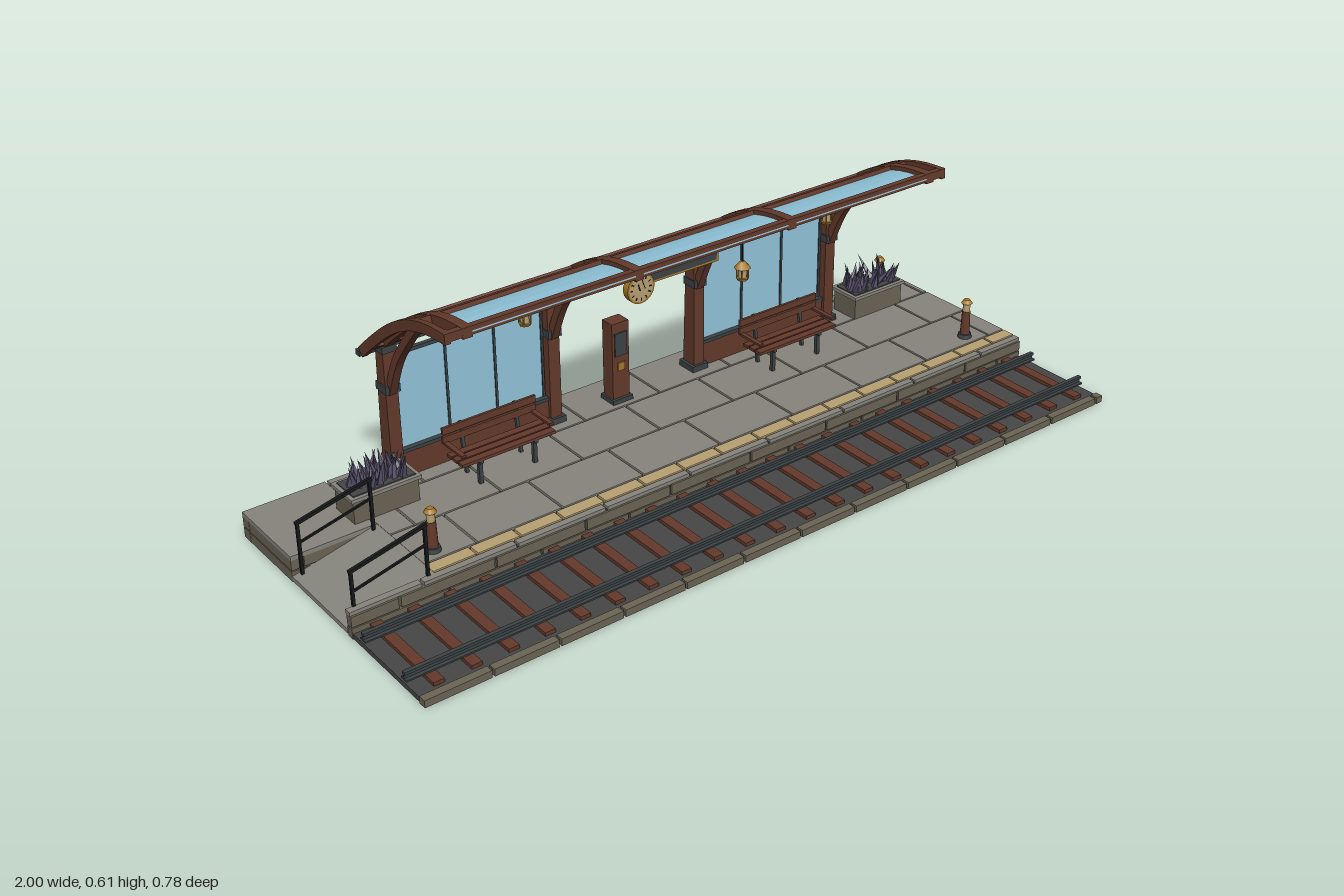
import * as THREE from 'three';

const mat = (name, color, side = THREE.FrontSide) => {
  const m = new THREE.MeshStandardMaterial({ color, side });
  m.name = name;
  return m;
};

export function createModel() {
  const root = new THREE.Group();
  const M = {
    paving: mat('paving grey', 0x87857d), stone: mat('stone', 0x6b6555), wood: mat('red brown wood', 0x643a2b),
    metal: mat('dark metal', 0x3c4346), ballast: mat('ballast', 0x474747), glass: mat('glass', 0x93c6dc),
    gold: mat('brass', 0xa97a2c), cream: mat('cream', 0xb9a273), plant: mat('violet plant', 0x565069, THREE.DoubleSide),
    iron: mat('black iron', 0x17191a),
  };
  const group = (name, parent = root) => {
    const g = new THREE.Group();
    g.name = name;
    parent.add(g);
    return g;
  };
  const add = (name, geo, m, parent = root, x = 0, y = 0, z = 0) => {
    const mesh = new THREE.Mesh(geo, m);
    mesh.name = name;
    mesh.position.set(x, y, z);
    parent.add(mesh);
    return mesh;
  };
  // Box given by its minimum and maximum on each axis
  const span = (name, m, x0, x1, y0, y1, z0, z1, parent) =>
    add(name, new THREE.BoxGeometry(x1 - x0, y1 - y0, z1 - z0), m, parent, (x0 + x1) / 2, (y0 + y1) / 2, (z0 + z1) / 2);
  const cyl = (name, m, r0, r1, y0, y1, x, z, parent, sides = 12) =>
    add(name, new THREE.CylinderGeometry(r1, r0, y1 - y0, sides), m, parent, x, (y0 + y1) / 2, z);
  // Square bar between two points
  const bar = (name, m, a, b, t, parent) => {
    const A = new THREE.Vector3(...a), B = new THREE.Vector3(...b);
    const mesh = add(name, new THREE.BoxGeometry(t, t, A.distanceTo(B)), m, parent);
    mesh.position.copy(A).lerp(B, 0.5);
    mesh.lookAt(B);
    return mesh;
  };
  // Side profile in (z, y), extruded to a width along x
  const profile = (pts, w) => {
    const g = new THREE.ExtrudeGeometry(new THREE.Shape(pts.map(p => new THREE.Vector2(p[0], p[1]))), { depth: w, bevelEnabled: false });
    return g.rotateY(-Math.PI / 2).translate(w / 2, 0, 0);
  };
  // Strip of thickness t following a curve, shifted sideways by off
  const ribbon = (curve, t, w, off = 0, n = 14) => {
    const a = [], b = [];
    for (let i = 0; i <= n; i++) {
      const p = curve.getPointAt(i / n), d = curve.getTangentAt(i / n);
      a.push([p.x - d.y * (off + t / 2), p.y + d.x * (off + t / 2)]);
      b.unshift([p.x - d.y * (off - t / 2), p.y + d.x * (off - t / 2)]);
    }
    return profile([...a, ...b], w);
  };
  const curve2 = pts => new THREE.SplineCurve(pts.map(p => new THREE.Vector2(...p)));
  // Row of pieces along x with joints between them
  const row = (name, m, x0, x1, len, shift, y0, y1, z0, z1, parent) => {
    for (let x = x0 - shift; x < x1 - 0.01; x += len) {
      const a = Math.max(x, x0), b = Math.min(x + len - 0.006, x1);
      if (b - a > 0.01) span(name, m, a, b, y0, y1, z0, z1, parent);
    }
  };

  // Platform: core, stone courses and paving
  const platform = group('platform');
  span('core', M.ballast, -0.78, 0.995, 0.002, 0.058, -0.385, 0.1, platform);
  span('rearCore', M.ballast, -0.995, -0.78, 0.002, 0.058, -0.385, -0.165, platform);
  span('footing', M.stone, -0.995, 0.995, 0, 0.004, -0.388, 0.103, platform);
  [[0, 0.026, 0], [0.029, 0.055, 0.12]].forEach(([y0, y1, shift]) => {
    row('frontCourse', M.stone, -1, 1, 0.24, shift, y0, y1, 0.086, 0.105, platform);
    row('backCourse', M.stone, -1, 1, 0.24, shift, y0, y1, -0.39, -0.36, platform);
    for (let z = -0.358 + shift * 0.4; z < 0.08; z += 0.166)
      span('endCourse', M.stone, 0.96, 1, y0, y1, z, Math.min(z + 0.161, 0.085), platform);
    if (shift) span('endCourse', M.stone, 0.96, 1, y0, y1, -0.359, -0.314, platform);
    span('rampEndCourse', M.stone, -1, -0.97, y0, y1, -0.358, -0.16, platform);
    span('rampSideCourse', M.stone, -0.968, -0.79, y0, y1, -0.18, -0.16, platform);
  });
  [[-0.39, -0.25, 0.05], [-0.245, -0.105, 0.16], [-0.1, 0.041, 0.09]].forEach(([z0, z1, shift]) =>
    row('pavingSlab', M.paving, -0.785, 1, 0.228, shift, 0.055, 0.066, z0, z1, platform));
  row('edgeStrip', M.cream, -0.785, 1, 0.114, 0, 0.055, 0.066, 0.046, 0.079, platform);
  row('edgeCoping', M.paving, -1, 1, 0.24, 0.06, 0.056, 0.065, 0.083, 0.101, platform);
  span('rearLanding', M.paving, -1, -0.791, 0.055, 0.066, -0.39, -0.16, platform);

  // Access ramp with handrails
  const ramp = group('ramp');
  const rs = new THREE.Shape([[-1, 0.003], [-0.785, 0.003], [-0.785, 0.065], [-1, 0.015]].map(p => new THREE.Vector2(...p)));
  add('rampSlope', new THREE.ExtrudeGeometry(rs, { depth: 0.243, bevelEnabled: false }), M.paving, ramp, 0, 0, -0.16);
  for (const z of [0.083, -0.15]) {
    bar('topRail', M.iron, [-0.985, 0.15, z], [-0.795, 0.193, z], 0.008, ramp);
    bar('middleRail', M.iron, [-0.98, 0.1, z], [-0.8, 0.143, z], 0.005, ramp);
    bar('lowPost', M.iron, [-0.98, 0.015, z], [-0.98, 0.151, z], 0.007, ramp);
    bar('highPost', M.iron, [-0.8, 0.06, z], [-0.8, 0.192, z], 0.007, ramp);
  }

  // Track: ballast bed, sleepers, rails and kerb
  const track = group('track');
  span('bed', M.ballast, -0.998, 0.998, 0, 0.013, 0.1, 0.385, track);
  for (let i = 0; i < 22; i++) {
    const x = -0.945 + i * 0.09;
    span('sleeper', M.wood, x - 0.013, x + 0.013, 0.008, 0.022, 0.106, 0.36, track);
  }
  for (const z of [0.15, 0.315]) {
    span('railFoot', M.metal, -1, 1, 0.022, 0.026, z - 0.011, z + 0.011, track);
    span('railWeb', M.metal, -1, 1, 0.026, 0.035, z - 0.002, z + 0.002, track);
    span('railHead', M.metal, -1, 1, 0.035, 0.042, z - 0.005, z + 0.005, track);
  }
  row('kerb', M.stone, -1, 1, 0.165, 0, 0, 0.018, 0.374, 0.394, track);

  // Shelter frame: columns, braces, curved ribs and purlins
  const shelter = group('shelter');
  const roof = curve2([[0.066, 0.595], [0, 0.59], [-0.06, 0.577], [-0.12, 0.553], [-0.18, 0.517], [-0.25, 0.463], [-0.312, 0.41]]);
  const brace = curve2([[-0.122, 0.548], [-0.19, 0.47], [-0.245, 0.395], [-0.287, 0.302]]);
  const columns = [-0.655, -0.215, 0.225, 0.665];
  for (const x of columns) {
    add('column', profile([[-0.328, 0.065], [-0.283, 0.065], [-0.283, 0.41], [-0.315, 0.41]], 0.032), M.wood, shelter, x);
    add('roofRib', ribbon(roof, 0.025, 0.024), M.wood, shelter, x);
    add('brace', ribbon(brace, 0.02, 0.02), M.wood, shelter, x);
    span('columnFoot', M.metal, x - 0.024, x + 0.024, 0.065, 0.082, -0.334, -0.276, shelter);
    span('columnBand', M.metal, x - 0.019, x + 0.019, 0.302, 0.322, -0.322, -0.276, shelter);
    span('columnCap', M.metal, x - 0.019, x + 0.019, 0.405, 0.422, -0.32, -0.278, shelter);
    bar('bracePlate', M.metal, [x, 0.553, -0.118], [x, 0.535, -0.134], 0.025, shelter);
  }
  for (const x of [-0.703, 0.71]) add('endRib', ribbon(roof, 0.025, 0.014), M.wood, shelter, x);
  for (const t of [0.02, 0.31, 0.61, 0.93]) {
    const p = roof.getPointAt(t), d = roof.getTangentAt(t);
    const purlin = add('purlin', new THREE.BoxGeometry(1.425, 0.02, 0.017), M.wood, shelter, 0.003, p.y + 0.002, p.x);
    purlin.rotation.x = Math.atan2(d.y, -d.x);
  }
  for (let i = 0; i < 3; i++) {
    const w = columns[i + 1] - columns[i] - 0.02;
    add('roofGlass', ribbon(roof, 0.004, w), M.glass, shelter, (columns[i] + columns[i + 1]) / 2);
  }
  span('gutter', M.metal, -0.71, 0.715, 0.396, 0.41, -0.334, -0.317, shelter);
  cyl('downpipe', M.metal, 0.006, 0.006, 0.066, 0.405, 0.692, -0.325, shelter, 8);

  // Glazed rear walls and benches, one per outer bay
  for (const c of [-0.435, 0.445]) {
    const wall = group('rearWall');
    span('wallPanel', M.wood, c - 0.205, c + 0.205, 0.066, 0.13, -0.318, -0.292, wall);
    span('wallSill', M.metal, c - 0.205, c + 0.205, 0.13, 0.139, -0.321, -0.289, wall);
    span('windowHead', M.metal, c - 0.205, c + 0.205, 0.379, 0.388, -0.311, -0.299, wall);
    span('windowGlass', M.glass, c - 0.196, c + 0.196, 0.139, 0.38, -0.307, -0.303, wall);
    for (const dx of [-0.198, -0.066, 0.066, 0.198])
      span('mullion', M.metal, c + dx - 0.003, c + dx + 0.003, 0.139, 0.38, -0.31, -0.3, wall);

    const bench = group('bench');
    for (const z of [-0.16, -0.184, -0.208]) span('seatSlat', M.wood, c - 0.128, c + 0.128, 0.13, 0.138, z - 0.01, z + 0.01, bench);
    for (const y of [0.165, 0.188]) span('backSlat', M.wood, c - 0.128, c + 0.128, y - 0.009, y + 0.009, -0.238, -0.231, bench);
    for (const dx of [-0.075, 0.075]) {
      const x = c + dx;
      span('frontLeg', M.metal, x - 0.005, x + 0.005, 0.066, 0.13, -0.168, -0.158, bench);
      bar('backLeg', M.metal, [x, 0.066, -0.222], [x, 0.195, -0.241], 0.008, bench);
      span('seatBearer', M.metal, x - 0.005, x + 0.005, 0.122, 0.13, -0.228, -0.152, bench);
    }
    for (const s of [-1, 1]) span('armrest', M.wood, c + s * 0.12 - 0.006, c + s * 0.12 + 0.006, 0.153, 0.159, -0.235, -0.154, bench);
  }

  // Planters with spiky leaves
  let seed = 7;
  const rnd = () => (seed = (seed * 16807) % 2147483647) / 2147483647;
  for (const [x, z] of [[-0.742, -0.228], [0.812, -0.286]]) {
    const planter = group('planter');
    planter.position.set(x, 0, z);
    span('planterBox', M.stone, -0.084, 0.084, 0.066, 0.126, -0.042, 0.042, planter);
    span('planterRim', M.paving, -0.09, 0.09, 0.124, 0.133, -0.048, 0.048, planter);
    span('soil', M.ballast, -0.08, 0.08, 0.13, 0.136, -0.038, 0.038, planter);
    for (let i = 0; i < 34; i++) {
      const h = 0.045 + rnd() * 0.035;
      const g = new THREE.ConeGeometry(0.010, h, 4).translate(0, h / 2, 0).toNonIndexed();
      g.computeVertexNormals();
      const leaf = add('leaf', g, M.plant, planter, (rnd() - 0.5) * 0.145, 0.132, (rnd() - 0.5) * 0.06);
      leaf.rotation.set((rnd() - 0.5) * 0.8, rnd() * 3, (rnd() - 0.5) * 0.8);
    }
  }

  // Bollard lights
  for (const [x, z] of [[-0.742, 0.008], [0.89, 0.008], [0.89, -0.326]]) {
    const b = group('bollard');
    cyl('bollardFoot', M.metal, 0.019, 0.017, 0.066, 0.077, x, z, b);
    cyl('bollardPost', M.wood, 0.013, 0.011, 0.077, 0.142, x, z, b);
    cyl('bollardLight', M.cream, 0.01, 0.01, 0.142, 0.166, x, z, b);
    cyl('bollardCap', M.gold, 0.015, 0.008, 0.165, 0.175, x, z, b);
  }

  // Ticket post
  const post = group('ticketPost');
  span('postFoot', M.metal, -0.058, 0.002, 0.066, 0.078, -0.318, -0.264, post);
  span('postBody', M.wood, -0.053, -0.003, 0.078, 0.285, -0.312, -0.272, post);
  span('postScreen', M.metal, -0.046, -0.01, 0.195, 0.258, -0.273, -0.269, post);
  span('postSlot', M.gold, -0.038, -0.018, 0.155, 0.176, -0.273, -0.268, post);

  // Hanging lanterns
  for (const [x, z, top] of [[-0.435, -0.06, 0.57], [0.083, 0.058, 0.59], [0.445, -0.06, 0.57]]) {
    const l = group('lantern');
    cyl('lanternRod', M.iron, 0.002, 0.002, 0.535, top, x, z, l, 6);
    cyl('lanternHood', M.gold, 0.02, 0.006, 0.523, 0.54, x, z, l, 8);
    cyl('lanternGlow', M.cream, 0.010, 0.010, 0.498, 0.524, x, z, l, 8);
    cyl('lanternBase', M.gold, 0.013, 0.015, 0.493, 0.499, x, z, l, 8);
    for (let i = 0; i < 4; i++) {
      const a = Math.PI / 4 + i * Math.PI / 2, dx = x + Math.cos(a) * 0.013, dz = z + Math.sin(a) * 0.013;
      bar('lanternBar', M.gold, [dx, 0.497, dz], [dx, 0.525, dz], 0.003, l);
    }
  }

  // Double-faced hanging clock
  const clock = group('clock');
  clock.position.set(-0.125, 0.491, -0.06);
  add('clockCase', new THREE.CylinderGeometry(0.038, 0.038, 0.018, 28).rotateX(Math.PI / 2), M.gold, clock);
  cyl('clockRod', M.iron, 0.003, 0.003, 0.036, 0.08, 0, 0, clock, 6);
  for (const s of [0, Math.PI]) {
    const face = group('clockFace', clock);
    face.rotation.y = s;
    add('dial', new THREE.CircleGeometry(0.033, 28), M.cream, face, 0, 0, 0.0095);
    for (let i = 0; i < 12; i++) {
      const a = i * Math.PI / 6;
      add('hourMark', new THREE.BoxGeometry(0.003, 0.007, 0.001), M.iron, face, Math.sin(a) * 0.027, Math.cos(a) * 0.027, 0.01).rotation.z = -a;
    }
    bar('hourHand', M.iron, [0, 0, 0.011], [-0.013, 0.008, 0.011], 0.003, face);
    bar('minuteHand', M.iron, [0, 0, 0.011], [0.012, 0.019, 0.011], 0.002, face);
  }

  // Hanging sign board with a blank panel
  const sign = group('sign');
  sign.position.set(0.085, 0.448, -0.18);
  span('signFrame', M.gold, -0.115, 0.115, -0.027, 0.027, -0.006, 0.006, sign);
  for (const s of [-1, 1]) {
    add('signPanel', new THREE.BoxGeometry(0.216, 0.042, 0.002), M.metal, sign, 0, 0, s * 0.0065);
    add('signStripe', new THREE.BoxGeometry(0.15, 0.006, 0.002), M.cream, sign, 0, 0, s * 0.0075);
    cyl('signRod', M.iron, 0.002, 0.002, 0.027, 0.067, s * 0.09, 0, sign, 6);
  }
  return root;
}
